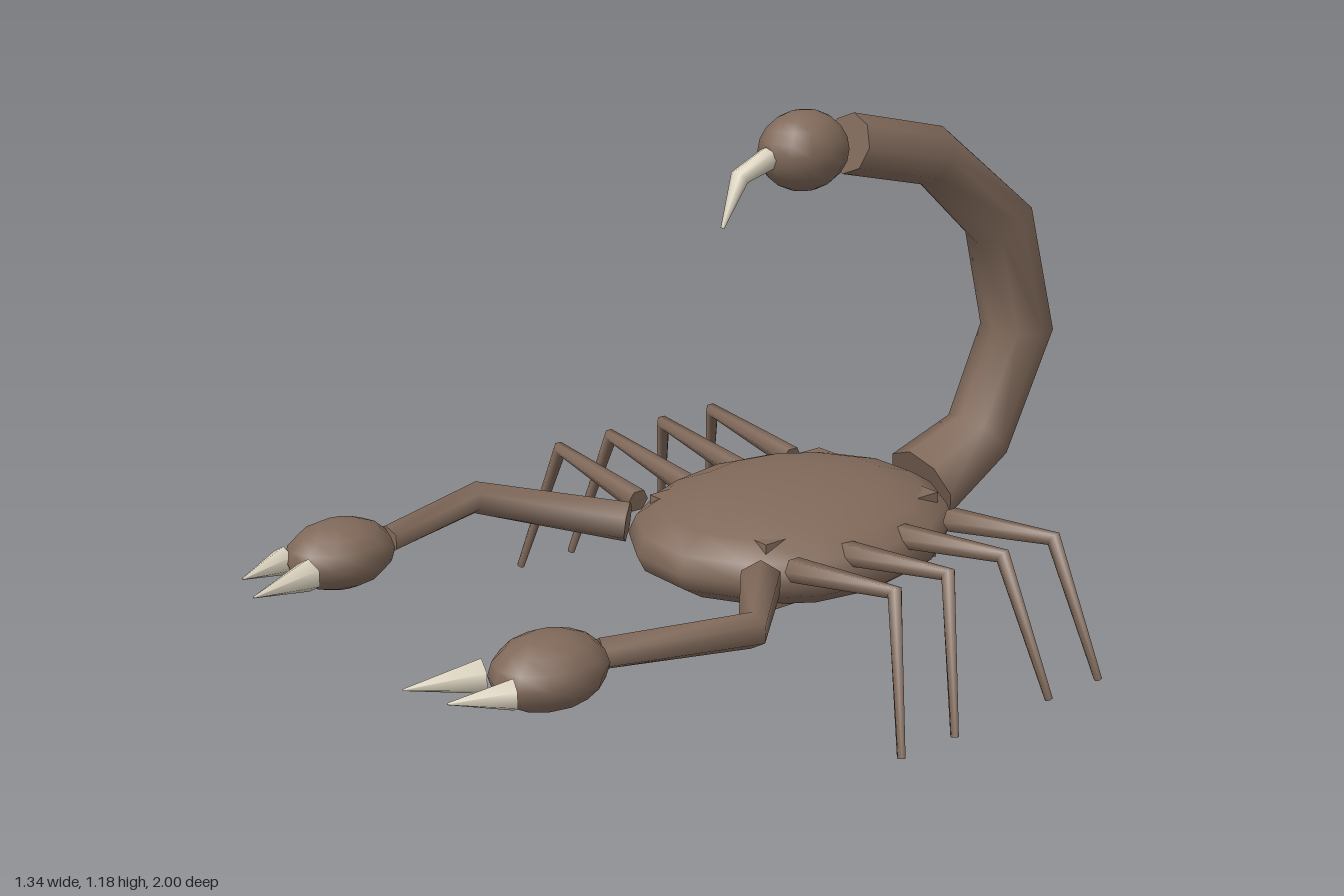
import * as THREE from 'three';

const brown = new THREE.MeshStandardMaterial({ color: 0x80695a });
const bone = new THREE.MeshStandardMaterial({ color: 0xd8d0bc });

// Tapered tube through points [x, y, z, radius], with mitred joints and flat ends.
// ref is a direction never parallel to the path; rings start along it.
function limb(name, points, ref, sides, material = brown) {
  const p = points.map(a => new THREE.Vector3(a[0], a[1], a[2]));
  const n = p.length;
  const pos = [], index = [];
  const rings = p.map((c, i) => {
    const t = new THREE.Vector3();
    if (i > 0) t.add(c.clone().sub(p[i - 1]).normalize());
    if (i < n - 1) t.add(p[i + 1].clone().sub(c).normalize());
    t.normalize();
    const u = ref.clone().addScaledVector(t, -ref.dot(t)).normalize();
    const v = t.clone().cross(u);
    return Array.from({ length: sides }, (_, j) => {
      const a = (j / sides) * Math.PI * 2;
      return c.clone()
        .addScaledVector(u, Math.cos(a) * points[i][3])
        .addScaledVector(v, Math.sin(a) * points[i][3]);
    });
  });
  rings.forEach(r => r.forEach(q => pos.push(q.x, q.y, q.z)));
  for (let i = 0; i < n - 1; i++) {
    for (let j = 0; j < sides; j++) {
      const k = (j + 1) % sides;
      const a = i * sides + j, b = i * sides + k;
      index.push(a, b, a + sides, b, b + sides, a + sides);
    }
  }
  // End caps use their own vertices so their rims stay sharp
  for (const end of [0, n - 1]) {
    const base = pos.length / 3;
    rings[end].forEach(q => pos.push(q.x, q.y, q.z));
    for (let j = 1; j < sides - 1; j++) {
      if (end === 0) index.push(base, base + j + 1, base + j);
      else index.push(base, base + j, base + j + 1);
    }
  }
  const g = new THREE.BufferGeometry();
  g.setAttribute('position', new THREE.Float32BufferAttribute(pos, 3));
  g.setIndex(index);
  g.computeVertexNormals();
  const m = new THREE.Mesh(g, material);
  m.name = name;
  return m;
}

function ellipsoid(name, center, radii, w, h) {
  const g = new THREE.SphereGeometry(1, w, h);
  g.scale(...radii);
  const m = new THREE.Mesh(g, brown);
  m.name = name;
  m.position.set(...center);
  return m;
}

export function createModel() {
  const model = new THREE.Group();
  model.name = 'scorpion';
  const X = new THREE.Vector3(1, 0, 0);
  const Y = new THREE.Vector3(0, 1, 0);
  const Z = new THREE.Vector3(0, 0, 1);

  // Flattened body, with a plate whose corners just break the surface
  model.add(ellipsoid('body', [0, 0.235, -0.2], [0.328, 0.125, 0.395], 14, 10));
  const plate = new THREE.Mesh(new THREE.BoxGeometry(0.4, 0.155, 0.51), brown);
  plate.name = 'bodyPlate';
  plate.position.set(0, 0.232, -0.205);
  model.add(plate);

  // Tail curling up and forward, ending in a bulb and sting
  model.add(limb('tail', [
    [0, 0.24, -0.605, 0.098],
    [0, 0.325, -0.79, 0.083],
    [0, 0.572, -0.912, 0.087],
    [0, 0.845, -0.835, 0.083],
    [0, 1.028, -0.61, 0.07],
    [0, 1.088, -0.352, 0.068],
  ], X, 8));
  model.add(ellipsoid('tailBulb', [0, 1.09, -0.222], [0.088, 0.088, 0.107], 14, 10));
  model.add(limb('sting', [
    [0, 1.085, -0.125, 0.026],
    [0, 1.055, -0.043, 0.021],
    [0, 0.952, 0.004, 0.004],
  ], X, 8, bone));

  for (const s of [1, -1]) {
    const side = s > 0 ? 'left' : 'right';

    // Arm with a rounded claw and two pincers
    const arm = new THREE.Group();
    arm.name = side + 'Arm';
    arm.add(limb('arm', [
      [s * 0.23, 0.245, 0.09, 0.048],
      [s * 0.485, 0.288, 0.33, 0.038],
      [s * 0.385, 0.288, 0.625, 0.033],
    ], Y, 6));
    arm.add(ellipsoid('claw', [s * 0.382, 0.288, 0.74], [0.1, 0.074, 0.122], 12, 8));
    arm.add(limb('innerPincer', [
      [s * 0.32, 0.285, 0.85, 0.036], [s * 0.283, 0.287, 0.998, 0.002],
    ], Y, 6, bone));
    arm.add(limb('outerPincer', [
      [s * 0.425, 0.285, 0.85, 0.032], [s * 0.385, 0.287, 0.968, 0.002],
    ], Y, 6, bone));
    model.add(arm);

    // Four walking legs: front pair of feet lean forward, back pair lean back
    [0.03, -0.12, -0.28, -0.435].forEach((z, i) => {
      const lean = i < 2 ? 0.06 : -0.06;
      model.add(limb(side + 'Leg' + (i + 1), [
        [s * 0.27, 0.27, z, 0.028],
        [s * 0.572, 0.315, z, 0.018],
        [s * 0.664, 0.004, z + lean, 0.009],
      ], Z, 6));
    });
  }
  return model;
}
